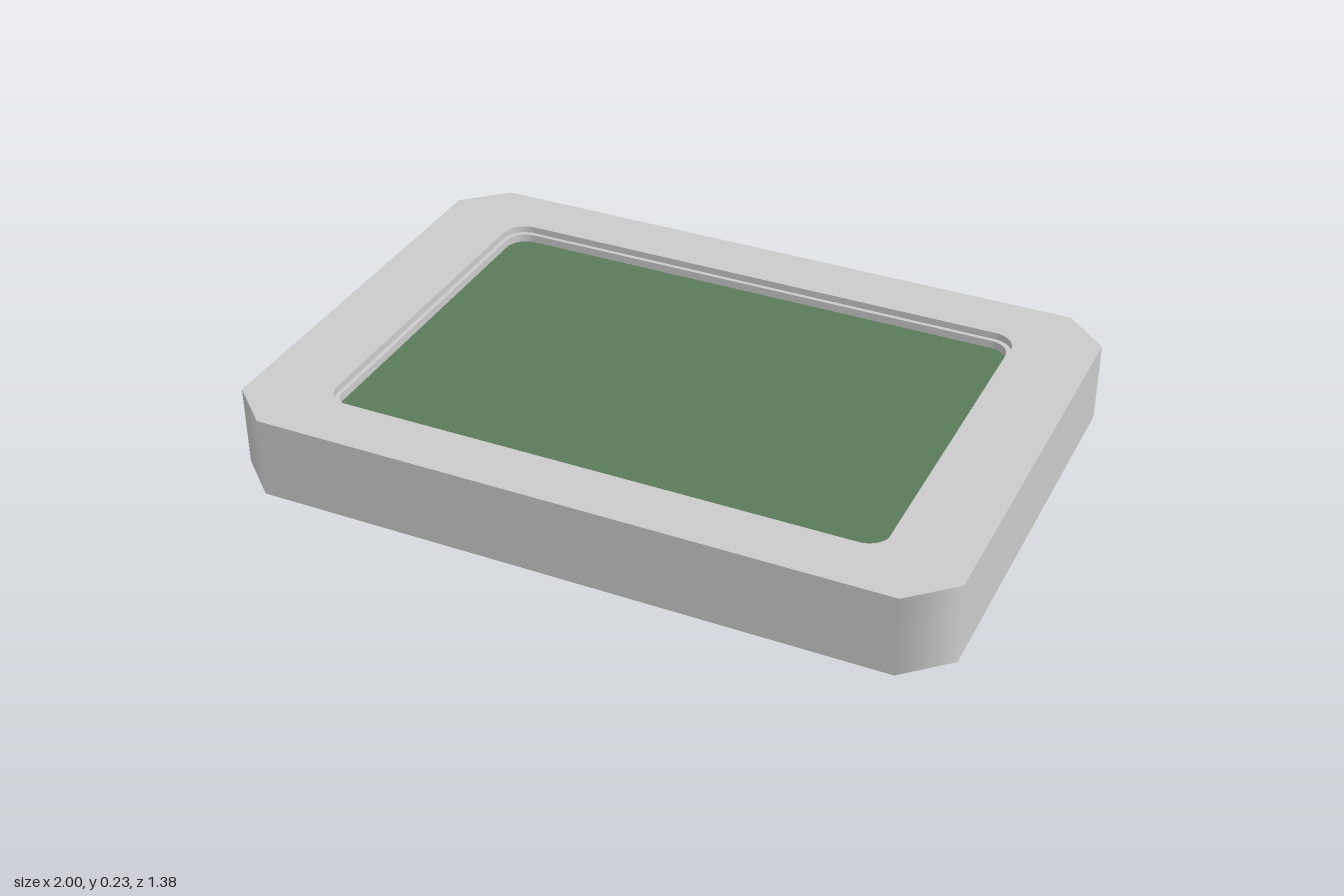
import * as THREE from 'three';

const W = 1, D = 0.69;        // half width and half depth of the case
const CX = 0.88, CZ = 0.58;   // where the corner chamfers begin

function caseOutline() {
  const pts = [[CX, -D], [W, -CZ], [W, CZ], [CX, D], [-CX, D], [-W, CZ], [-W, -CZ], [-CX, -D]];
  return new THREE.Shape(pts.map(([x, y]) => new THREE.Vector2(x, y)));
}

function roundedRect(w, h, r, Type = THREE.Shape) {
  const s = new Type();
  s.absarc(w - r, h - r, r, 0, Math.PI / 2);
  s.absarc(-w + r, h - r, r, Math.PI / 2, Math.PI);
  s.absarc(-w + r, -h + r, r, Math.PI, Math.PI * 1.5);
  s.absarc(w - r, -h + r, r, Math.PI * 1.5, Math.PI * 2);
  s.closePath();
  return s;
}

// Extrude a flat outline upwards between two heights
function slab(shape, y0, y1) {
  const g = new THREE.ExtrudeGeometry(shape, { depth: y1 - y0, bevelEnabled: false, curveSegments: 10 });
  return g.rotateX(-Math.PI / 2).translate(0, y0, 0);
}

// Shade the chamfers as a soft blend between the neighbouring flat sides
function softenCorners(g) {
  const p = g.attributes.position, n = g.attributes.normal;
  for (let i = 0; i < p.count; i++) {
    if (Math.abs(n.getY(i)) > 0.5) continue;
    const x = p.getX(i), z = p.getZ(i);
    if (Math.abs(x) > W - 0.01) n.setXYZ(i, Math.sign(x), 0, 0);
    else if (Math.abs(z) > D - 0.01) n.setXYZ(i, 0, 0, Math.sign(z));
  }
  return g;
}

export function createModel() {
  const group = new THREE.Group();
  const grey = new THREE.MeshStandardMaterial({ color: 0xcccccc });
  const green = new THREE.MeshStandardMaterial({ color: 0x5a7a5a });

  const add = (name, geometry, material) => {
    const mesh = new THREE.Mesh(geometry, material);
    mesh.name = name;
    group.add(mesh);
  };

  // Solid lower case
  add('base', softenCorners(slab(caseOutline(), 0, 0.18)), grey);

  // Inner frame forms the narrow ledge, outer frame the raised rim
  const ledge = caseOutline();
  ledge.holes.push(roundedRect(0.768, 0.513, 0.06, THREE.Path));
  add('ledgeFrame', softenCorners(slab(ledge, 0.18, 0.21)), grey);

  const rim = caseOutline();
  rim.holes.push(roundedRect(0.78, 0.525, 0.065, THREE.Path));
  add('rimFrame', softenCorners(slab(rim, 0.21, 0.23)), grey);

  // Recessed green panel
  add('panel', slab(roundedRect(0.768, 0.513, 0.06), 0.18, 0.187), green);

  return group;
}
